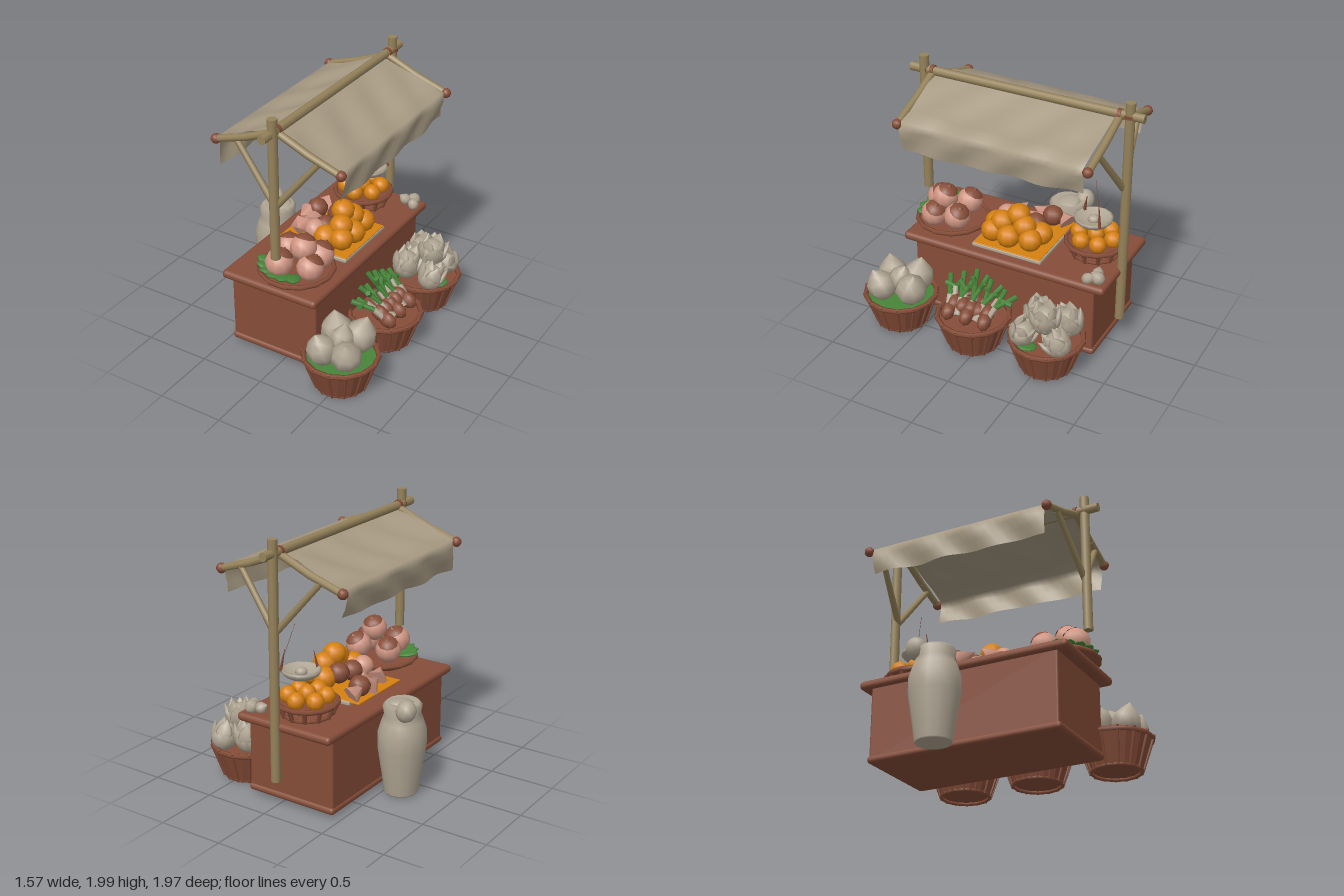
import * as THREE from 'three';
import { RoundedBoxGeometry } from 'three/addons/geometries/RoundedBoxGeometry.js';

const mat = (name, color, side = THREE.FrontSide) => {
  const m = new THREE.MeshStandardMaterial({ color, side });
  m.name = name;
  return m;
};
const V = (x, y, z) => new THREE.Vector3(x, y, z);

export function createModel() {
  const root = new THREE.Group();
  root.name = 'marketStall';
  const brown = mat('redBrownWood', 0x864d38, THREE.DoubleSide);
  const pole = mat('paleWood', 0x95825a);
  const cloth = mat('canvas', 0xa79a83, THREE.DoubleSide);
  const beige = mat('beige', 0xb0a593, THREE.DoubleSide);
  const orange = mat('orange', 0xd5800f);
  const pink = mat('pink', 0xd29785);
  const green = mat('green', 0x478439, THREE.DoubleSide);

  const add = (name, geo, material, pos = [0, 0, 0], parent = root) => {
    const m = new THREE.Mesh(geo, material);
    m.name = name;
    m.position.set(...pos);
    parent.add(m);
    return m;
  };
  // Tapered rod between two points
  const rod = (name, a, b, r0, r1, material, sides = 9, parent = root) => {
    const d = b.clone().sub(a);
    const m = add(name, new THREE.CylinderGeometry(r1, r0, d.length(), sides), material,
      a.clone().add(b).multiplyScalar(0.5).toArray(), parent);
    m.quaternion.setFromUnitVectors(V(0, 1, 0), d.normalize());
    return m;
  };
  const lathe = (pts, sides) => new THREE.LatheGeometry(pts.map(p => new THREE.Vector2(...p)), sides);
  const ball = (name, p, r, material, sy = 1) => {
    const m = add(name, new THREE.SphereGeometry(r, 10, 7), material, p);
    m.scale.y = sy;
    return m;
  };

  // Counter
  const slab = (name, x0, x1, y0, y1, z0, z1, r, material = brown) =>
    add(name, new RoundedBoxGeometry(x1 - x0, y1 - y0, z1 - z0, 2, r), material,
      [(x0 + x1) / 2, (y0 + y1) / 2, (z0 + z1) / 2]);
  slab('counterBody', -0.445, 0.275, 0.04, 0.63, -0.795, 0.685, 0.015);
  slab('counterTop', -0.48, 0.32, 0.6, 0.665, -0.885, 0.77, 0.03);
  slab('counterBase', -0.455, 0.285, 0.035, 0.09, -0.81, 0.7, 0.025);

  // Roof frame
  rod('frontPost', V(-0.02, 0.91, 0.735), V(-0.02, 2, 0.735), 0.036, 0.036, pole);
  rod('backPost', V(-0.02, 0.22, -0.88), V(-0.03, 1.99, -0.88), 0.036, 0.036, pole);
  rod('ridgePole', V(-0.03, 1.885, 0.85), V(-0.03, 1.89, -0.99), 0.034, 0.032, pole);
  for (const [z, zp] of [[0.67, 0.72], [-0.805, -0.86]]) {
    for (const s of [-1, 1]) {
      const ex = s < 0 ? -0.54 : 0.475;
      const mid = V(-0.03 + s * 0.25, 1.765, z);
      rod('rafter', V(-0.03, 1.87, z), mid, 0.028, 0.028, pole);
      rod('rafter', mid, V(ex, 1.682, z), 0.028, 0.026, pole);
      ball('rafterBinding', [ex, 1.682, z], 0.038, brown);
      rod('brace', V(-0.02, 1.32, zp), V(-0.03 + s * 0.33, 1.72, z), 0.026, 0.022, pole, 8);
    }
    rod('ridgeBinding', V(-0.03, 1.888, z - 0.014), V(-0.03, 1.888, z + 0.014), 0.039, 0.039, brown);
  }
  for (const z of [0.735, -0.88]) rod('postBinding', V(-0.025, 1.875, z), V(-0.025, 1.9, z), 0.04, 0.04, brown);

  // Canvas: two slopes with plumb valances and soft folds
  for (const s of [-1, 1]) {
    const prof = [[0.012, 1.855], [0.12, 1.83], [0.25, 1.785], [0.37, 1.74], [0.5, 1.7],
      [0.508, 1.64], [0.497, 1.56], [0.487, 1.468]];
    const n = 24, pos = [], idx = [];
    for (let i = 0; i <= n; i++) {
      const t = i / n, z = 0.645 - 1.415 * t;
      prof.forEach(([x, y], j) => {
        const sag = j < 4 ? -0.035 * Math.sin(Math.PI * t) * Math.sin(j * 0.8) : 0;
        const wave = 0.012 * Math.sin(t * 21 + j * 1.3 + s);
        const hem = j === 7 ? 0.03 * t + 0.006 * Math.sin(t * 15) : 0;
        pos.push(-0.028 + s * (x + (j > 4 ? wave * 1.2 : 0)), y + sag + hem + (j > 0 && j < 4 ? wave : 0), z);
        if (i < n && j < 7) {
          const a = i * 8 + j, b = a + 8;
          idx.push(...(s > 0 ? [a, a + 1, b, b, a + 1, b + 1] : [a, b, a + 1, b, b + 1, a + 1]));
        }
      });
    }
    const g = new THREE.BufferGeometry();
    g.setAttribute('position', new THREE.Float32BufferAttribute(pos, 3));
    g.setIndex(idx);
    g.computeVertexNormals();
    add('canvasSlope', g, cloth);
  }

  // Floor baskets: faceted staves, seam strips and rims
  const ring = (name, r, t, p, sides = 14, parent = root) =>
    add(name, new THREE.TorusGeometry(r, t, 5, sides), brown, p, parent).rotateX(Math.PI / 2);
  const staves = new THREE.CylinderGeometry(0.277, 0.192, 0.255, 14, 1, true).toNonIndexed();
  staves.computeVertexNormals();
  const basketAt = (z, lining) => {
    const b = new THREE.Group();
    b.name = 'basket';
    b.position.set(0.495, 0, z);
    root.add(b);
    add('basketStaves', staves, brown, [0, 0.14, 0], b);
    add('basketBottom', new THREE.CylinderGeometry(0.195, 0.19, 0.02, 14), brown, [0, 0.04, 0], b);
    add('basketLining', new THREE.CylinderGeometry(0.255, 0.245, 0.02, 14), lining, [0, 0.225, 0], b);
    ring('basketRim', 0.27, 0.02, [0, 0.255, 0], 14, b);
    ring('basketFoot', 0.185, 0.014, [0, 0.02, 0], 14, b);
    for (let i = 0; i < 14; i++) {
      const a = i * Math.PI / 7, c = Math.cos(a), d = Math.sin(a);
      rod('basketSeam', V(c * 0.19, 0.01, d * 0.19), V(c * 0.28, 0.275, d * 0.28), 0.009, 0.012, brown, 5, b);
    }
  };
  basketAt(0.697, green);
  basketAt(0.07, brown);
  basketAt(-0.535, brown);

  // Pointed bulbs, tilted outwards
  const bulbGeo = lathe([[0, -0.1], [0.07, -0.08], [0.105, -0.01], [0.09, 0.055], [0.045, 0.1], [0, 0.14]], 8);
  const bulb = (x, y, z, s, rx, rz) => {
    const m = add('bulb', bulbGeo, beige, [x, y, z]);
    m.scale.setScalar(s);
    m.rotation.set(rx, 0, rz);
  };
  [[0.6, 0.34, 0.8, 1.08, 0.4, -0.2], [0.41, 0.34, 0.82, 1.08, 0.3, 0.2], [0.57, 0.36, 0.56, 1.15, -0.3, -0.2],
    [0.4, 0.37, 0.6, 1.15, -0.1, 0.2], [0.5, 0.38, 0.69, 0.9, -0.3, 0],
    [0.24, 0.7, -0.81, 0.48, 1, 0], [0.27, 0.695, -0.74, 0.42, -1, 0.4], [0.18, 0.695, -0.78, 0.42, 0.3, 1]].forEach(p => bulb(...p));

  // Leafy heads: core wrapped in broad pointed leaves
  const leafGeo = lathe([[0, -0.8], [0.45, -0.45], [0.62, 0], [0.45, 0.45], [0, 0.95]], 7);
  const head = (x, y, z, r, tilt = 0) => {
    const g = new THREE.Group();
    g.name = 'leafyHead';
    g.position.set(x, y, z);
    g.rotation.set(tilt, 0, -0.15);
    g.scale.setScalar(r);
    root.add(g);
    add('headCore', new THREE.SphereGeometry(0.95, 9, 7), beige, [0, 0, 0], g);
    for (let i = 0; i < 8; i++) {
      const a = i * 2.4, out = i % 2 ? 0.72 : 0.5;
      const leaf = add('headLeaf', leafGeo, beige, [Math.cos(a) * out, i % 2 ? 0.1 : 0.35, Math.sin(a) * out], g);
      leaf.scale.z = 0.45;
      leaf.rotation.set(i % 2 ? 0.25 : 0.1, Math.PI / 2 - a, 0, 'YXZ');
    }
  };
  [[0.55, 0.45, -0.55, 0.115], [0.61, 0.32, -0.68, 0.105, 0.7], [0.62, 0.33, -0.4, 0.105, -0.5],
    [0.4, 0.36, -0.42, 0.115, -0.2], [0.39, 0.36, -0.66, 0.115, 0.2]].forEach(p => head(...p));
  const basketLeaf = ball('basketLeaf', [0.66, 0.26, -0.46], 0.075, green, 0.2);
  basketLeaf.rotation.z = 0.2;

  // Root vegetables with fanned leaves
  for (let i = 0; i < 10; i++) {
    const row = i % 2, t = Math.floor(i / 2) / 4 - 0.5;
    const z = 0.07 - t * (row ? 0.28 : 0.3), x = row ? 0.53 : 0.6, y = row ? 0.33 : 0.3;
    const neck = V(x - 0.09, y + 0.08, z - t * 0.08);
    if (row || i % 4 === 0) {
      const r = add('rootVegetable', new THREE.SphereGeometry(0.05, 8, 6), brown, [x, y, z]);
      r.scale.set(1.5, 1.2, 1);
      r.rotation.z = -0.4;
    }
    rod('rootStalk', V(x + 0.01, y - 0.01, z), neck, 0.028, 0.022, beige, 6);
    for (const k of [-1, 1]) {
      rod('rootLeaf', neck, V(0.36 + row * 0.07, 0.55 - Math.abs(t) * 0.24 + k * 0.015 - row * 0.03, 0.06 - t * 0.46 + k * 0.045),
        0.017, 0.022, green, 5);
    }
  }

  // Pitcher with a folded lip
  const pitcher = add('pitcher', lathe([[0, 0.02], [0.12, 0.02], [0.125, 0.03], [0.14, 0.15], [0.174, 0.38], [0.174, 0.5],
    [0.15, 0.58], [0.13, 0.635], [0.14, 0.695], [0.115, 0.72], [0, 0.7]], 14), beige, [-0.615, 0, -0.165]);
  pitcher.scale.z = 1.08;
  const lip = ball('pitcherLip', [-0.705, 0.7, -0.265], 0.076, beige, 1.1);
  lip.rotation.z = 0.3;
  const fold = ball('pitcherFold', [-0.6, 0.705, -0.17], 0.1, beige, 0.35);
  fold.rotation.set(0.2, 0.6, -0.1);

  // Wicker plate of capped fruit
  add('fruitPlate', new THREE.CylinderGeometry(0.28, 0.21, 0.05, 14), brown, [0.005, 0.692, 0.51]);
  ring('plateRim', 0.272, 0.018, [0.005, 0.72, 0.51]);
  const fruit = (x, y, z, r, rx, rz) => {
    ball('fruit', [x, y, z], r, pink);
    const cap = add('fruitCap', new THREE.SphereGeometry(r * 1.03, 10, 4, 0, Math.PI * 2, 0, 0.85), brown, [x, y, z]);
    cap.rotation.set(rx, 0, rz);
    add('fruitCrown', new THREE.ConeGeometry(r * 0.25, r * 0.2, 6), brown, [0, r * 1.06, 0], cap);
  };
  [[-0.05, 0.82, 0.65, 0.105, -0.4, -0.2], [0.165, 0.81, 0.58, 0.1, -0.4, -0.3], [0.08, 0.925, 0.53, 0.098, -0.4, 0],
    [0.14, 0.815, 0.4, 0.1, -0.5, -0.2], [-0.11, 0.815, 0.43, 0.1, -0.4, 0.2]].forEach(p => fruit(...p));
  for (let i = 0; i < 6; i++) {
    const a = 1.1 + i * 0.34;
    const leaf = add('plateLeaf', new THREE.SphereGeometry(0.085, 8, 5), green,
      [Math.cos(a) * 0.21, 0.75, 0.51 + Math.sin(a) * 0.2]);
    leaf.scale.set(1, 0.18, 0.65);
    leaf.rotation.set(0, -a, 0.2);
  }

  // Tray with a heap of oranges, whole fruit and slices
  slab('tray', -0.28, 0.24, 0.663, 0.695, -0.35, 0.22, 0.01, beige);
  slab('trayMat', -0.36, 0.235, 0.685, 0.701, -0.34, 0.21, 0.006, orange);
  [[0.13, 0.78, 0.1], [0.15, 0.775, -0.04], [0.13, 0.78, -0.21], [0.01, 0.78, 0.13], [0.01, 0.78, -0.24],
    [0.09, 0.85, 0.04], [0.08, 0.85, -0.14], [0.04, 0.91, -0.07]].forEach(p => ball('orangeFruit', p, 0.09, orange, 0.95));
  for (const p of [[-0.06, 0.81, -0.16], [-0.07, 0.78, 0.0], [-0.27, 0.77, -0.2]]) ball('brownFruit', p, 0.082, brown, 0.95);
  ball('pinkFruit', [-0.1, 0.79, 0.1], 0.08, pink);
  for (const [x, z, a] of [[-0.3, -0.27, 0.4], [-0.31, -0.08, 1.6], [-0.24, 0.1, 2.5], [-0.21, -0.05, 3.4]]) {
    const m = add('fruitSlice', new THREE.ConeGeometry(0.08, 0.13, 5), pink, [x, 0.765, z]);
    m.rotation.set(0.9, a, 0.4);
  }

  // Footed basket of small oranges
  const fx = -0.115, fz = -0.625;
  add('footedTray', new THREE.CylinderGeometry(0.225, 0.2, 0.03, 14), brown, [fx, 0.755, fz]);
  ring('footedTrayRim', 0.22, 0.019, [fx, 0.768, fz]);
  ring('footedTrayBase', 0.175, 0.014, [fx, 0.68, fz]);
  for (let i = 0; i < 12; i++) {
    const a = i * Math.PI / 6, c = Math.cos(a), d = Math.sin(a);
    rod('trayFoot', V(fx + c * 0.175, 0.665, fz + d * 0.175), V(fx + c * 0.21, 0.76, fz + d * 0.21), 0.014, 0.018, brown, 5);
    if (i % 2) ball('smallOrange', [fx + c * 0.135, 0.81, fz + d * 0.135], 0.066, orange);
  }
  ball('smallOrange', [fx, 0.825, fz], 0.065, orange);

  // Weighing pan with knob and cords
  add('scalePan', lathe([[0, 0.925], [0.07, 0.928], [0.115, 0.95], [0.14, 0.975], [0.143, 0.997], [0.128, 1], [0.09, 0.97], [0, 0.96]], 14),
    beige, [-0.065, 0, -0.625]);
  ball('panKnob', [-0.065, 0.975, -0.625], 0.045, beige, 0.8);
  rod('panCord', V(-0.13, 0.985, -0.52), V(-0.115, 1.12, -0.545), 0.014, 0.002, brown, 4);
  rod('panCord', V(0.045, 0.985, -0.72), V(0.02, 1.15, -0.7), 0.014, 0.002, brown, 4);
  rod('panString', V(0.02, 1.12, -0.7), V(-0.03, 1.33, -0.645), 0.002, 0.0015, brown, 4);
  return root;
}
